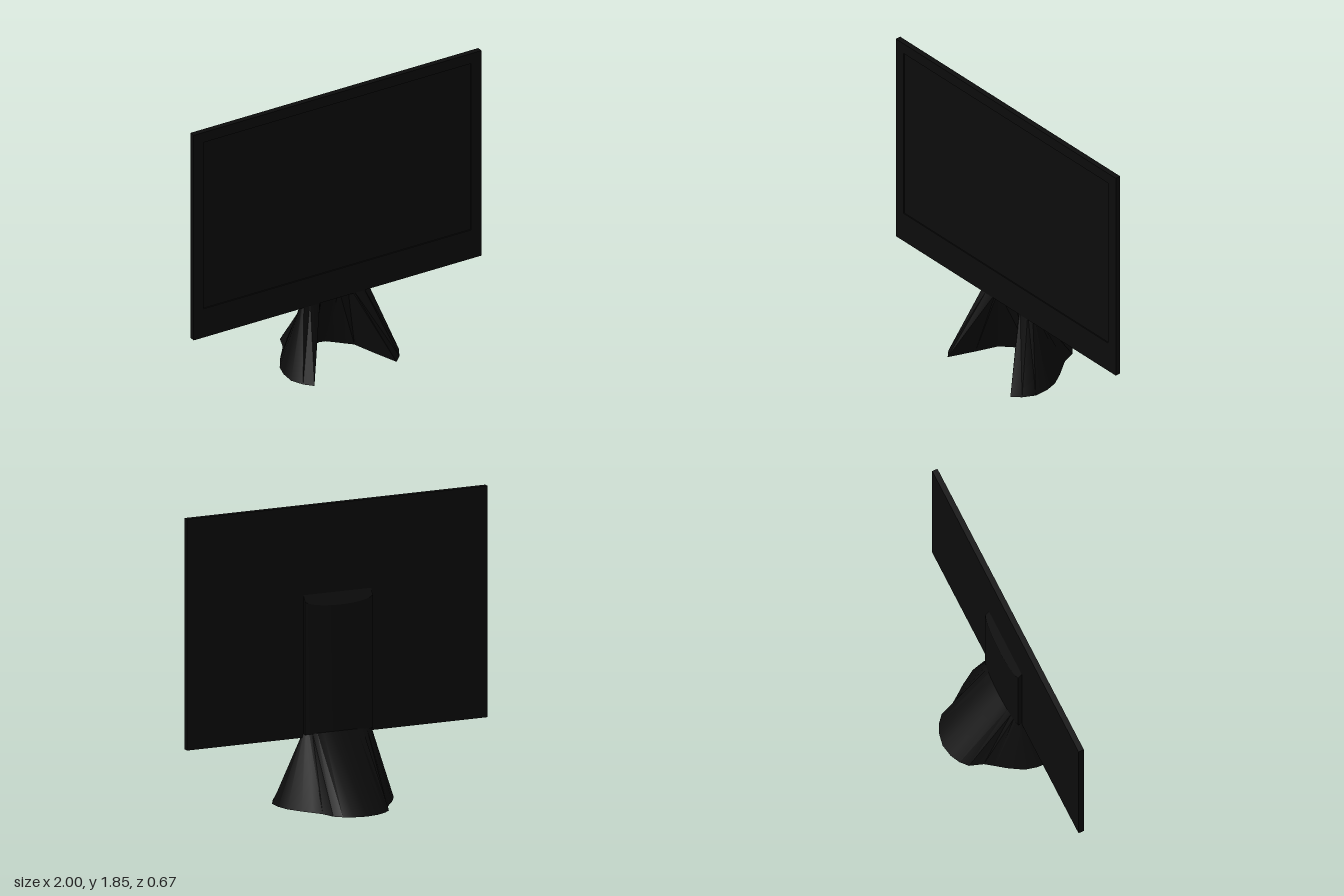
import * as THREE from 'three';
import { toCreasedNormals } from 'three/addons/utils/BufferGeometryUtils.js';

const black = new THREE.MeshStandardMaterial({ color: 0x0c0c0c });
black.name = 'black plastic';

// Stand outlines as [x, z], right half from the back centre to the notch centre
const footHalf = [
  [0, -0.335], [0.08, -0.32], [0.14, -0.29], [0.185, -0.25], [0.215, -0.165], [0.255, -0.11],
  [0.3, -0.05], [0.355, 0.04], [0.375, 0.12], [0.375, 0.21], [0.335, 0.285], [0.285, 0.335],
  [0.22, 0.17], [0.17, 0.03], [0.04, -0.09], [0, -0.1],
];
const neckHalf = [
  [0, 0.04], [0.06, 0.041], [0.11, 0.044], [0.15, 0.048], [0.18, 0.053], [0.2, 0.06],
  [0.215, 0.07], [0.222, 0.08], [0.226, 0.09], [0.222, 0.1], [0.18, 0.103], [0.11, 0.103],
  [0.1, 0.1], [0.09, 0.09], [0.03, 0.087], [0, 0.087],
];

const mirrored = (half) => [
  ...half,
  ...half.slice(1, -1).reverse().map(([x, z]) => [-x, z]),
];

// Surface between two matching outlines, closed at both ends
function loft(lower, upper, y0, y1) {
  const n = lower.length;
  const positions = [];
  const index = [];
  lower.forEach(([x, z]) => positions.push(x, y0, z));
  upper.forEach(([x, z]) => positions.push(x, y1, z));
  for (let i = 0; i < n; i++) {
    const j = (i + 1) % n;
    index.push(i, n + i, n + j, i, n + j, j);
  }
  const cap = (outline, offset, facesUp) => {
    const points = outline.map(([x, z]) => new THREE.Vector2(x, z));
    for (const [a, b, c] of THREE.ShapeUtils.triangulateShape(points, [])) {
      const down = THREE.ShapeUtils.area([points[a], points[b], points[c]]) > 0;
      if (down !== facesUp) index.push(offset + a, offset + b, offset + c);
      else index.push(offset + a, offset + c, offset + b);
    }
  };
  cap(lower, 0, false);
  cap(upper, n, true);
  const geometry = new THREE.BufferGeometry();
  geometry.setAttribute('position', new THREE.Float32BufferAttribute(positions, 3));
  geometry.setIndex(index);
  return toCreasedNormals(geometry, 0.5);
}

function rectangle(Type, x, y0, y1) {
  return new Type([[-x, y0], [x, y0], [x, y1], [-x, y1]].map((p) => new THREE.Vector2(...p)));
}

export function createModel() {
  const model = new THREE.Group();
  model.name = 'monitor';
  const add = (name, geometry) => {
    const mesh = new THREE.Mesh(geometry, black);
    mesh.name = name;
    model.add(mesh);
    return mesh;
  };

  // Bezel with an opening for the screen
  const outer = rectangle(THREE.Shape, 1, 0.42, 1.85);
  outer.holes.push(rectangle(THREE.Path, 0.93, 0.62, 1.78));
  add('bezel', new THREE.ExtrudeGeometry(outer, { depth: 0.035, bevelEnabled: false }))
    .position.z = 0.085;

  // Slightly recessed screen that also fills the back of the opening
  add('screen', new THREE.BoxGeometry(1.86, 1.16, 0.028)).position.set(0, 1.2, 0.099);

  // Column on the back: shallow curved section, top sloping up to the panel
  const section = new THREE.Shape();
  section.moveTo(-0.225, -0.09);
  section.lineTo(0.225, -0.09);
  section.lineTo(0.225, -0.06);
  section.quadraticCurveTo(0.17, -0.041, 0, -0.04);
  section.quadraticCurveTo(-0.17, -0.041, -0.225, -0.06);
  section.closePath();
  const column = new THREE.ExtrudeGeometry(section, {
    depth: 0.79, bevelEnabled: false, curveSegments: 6,
  });
  column.rotateX(-Math.PI / 2);
  column.translate(0, 0.44, 0);
  const p = column.attributes.position;
  for (let i = 0; i < p.count; i++) {
    if (p.getY(i) > 1) p.setY(i, 1.23 + (p.getZ(i) - 0.04) * 1.55);
  }
  add('backColumn', toCreasedNormals(column, 0.5));

  // Flared stand with a notch between its two front feet
  add('stand', loft(mirrored(footHalf), mirrored(neckHalf), 0, 0.45));

  return model;
}
